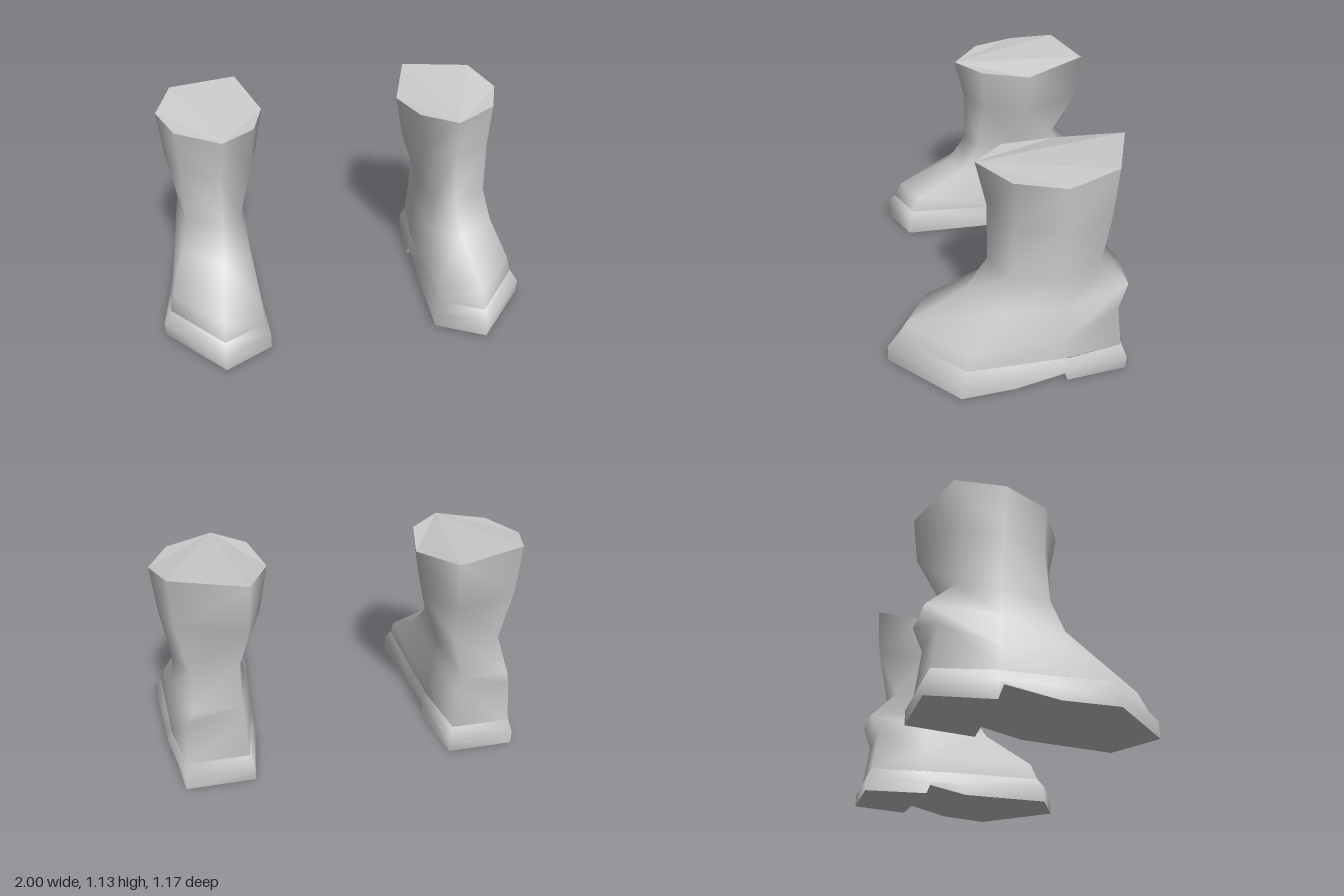
import * as THREE from 'three';

// Columns run around the boot: toe, outer front, outer side, outer back,
// inner back, inner side, inner front. Each point is [x, y, z] of the left boot.
const UPPER = [
  // welt
  [[.69, .15, .535], [.96, .14, .21], [.92, .14, -.265], [.85, .14, -.557], [.54, .14, -.557], [.495, .14, -.25], [.475, .15, .42]],
  // foot
  [[.69, .235, .487], [.94, .22, .19], [.92, .25, -.26], [.84, .36, -.53], [.55, .36, -.53], [.495, .25, -.26], [.48, .24, .38]],
  // instep and heel ledge
  [[.66, .40, .19], [.87, .40, .05], [.895, .42, -.25], [.80, .47, -.58], [.56, .47, -.58], [.51, .42, -.26], [.51, .40, .11]],
  // ankle
  [[.64, .56, .08], [.83, .57, 0], [.87, .58, -.25], [.79, .60, -.44], [.55, .62, -.44], [.525, .52, -.27], [.54, .55, 0]],
  // calf
  [[.63, .85, .08], [.83, .85, -.02], [.91, .85, -.24], [.84, .87, -.46], [.51, .87, -.565], [.42, .81, -.27], [.47, .85, -.02]],
  // rim
  [[.61, 1.07, .132], [.84, 1.08, -.01], [.93, 1.09, -.24], [.85, 1.13, -.475], [.49, 1.12, -.587], [.375, 1.053, -.27], [.44, 1.065, -.01]],
];

// The sole has extra columns for the arch and for the step of the heel.
const SOLE = [
  // ground edge
  [[.695, .012, .585], [1, .007, .24], [.97, .015, -.02], [.945, .065, -.265], [.925, .004, -.285], [.87, .004, -.588],
    [.52, .004, -.588], [.475, .004, -.25], [.48, .056, -.23], [.475, .015, -.02], [.45, .01, .45]],
  // top of the wall
  [[.695, .10, .583], [1, .08, .24], [.97, .08, -.02], [.945, .08, -.265], [.943, .08, -.285], [.87, .075, -.588],
    [.52, .075, -.588], [.48, .08, -.25], [.48, .08, -.23], [.475, .085, -.02], [.45, .10, .45]],
  // welt
  [[.69, .15, .535], [.96, .14, .21], [.94, .14, -.02], [.92, .14, -.265], [.918, .14, -.285], [.85, .14, -.557],
    [.54, .14, -.557], [.497, .14, -.25], [.495, .14, -.23], [.487, .145, -.02], [.475, .15, .42]],
];

// Builds a geometry from points and polygons, mirrored when side is -1.
function surface(points, polygons, side, flat) {
  const index = [];
  for (const p of polygons) {
    for (let i = 1; i < p.length - 1; i++) {
      index.push(p[0], ...(side > 0 ? [p[i], p[i + 1]] : [p[i + 1], p[i]]));
    }
  }
  let geometry = new THREE.BufferGeometry();
  const position = points.flatMap(([x, y, z]) => [x * side, y, z]);
  geometry.setAttribute('position', new THREE.Float32BufferAttribute(position, 3));
  geometry.setIndex(index);
  if (flat) geometry = geometry.toNonIndexed();
  geometry.computeVertexNormals();
  return geometry;
}

// Skins closed rings with smooth normals.
function loft(rings, side) {
  const n = rings[0].length;
  const quads = [];
  for (let r = 0; r < rings.length - 1; r++) {
    for (let i = 0; i < n; i++) {
      const j = (i + 1) % n;
      quads.push([r * n + i, r * n + j, (r + 1) * n + j, (r + 1) * n + i]);
    }
  }
  return surface(rings.flat(), quads, side, false);
}

function makeBoot(side, material) {
  const boot = new THREE.Group();
  boot.name = side > 0 ? 'leftBoot' : 'rightBoot';
  const add = (name, geometry) => {
    const mesh = new THREE.Mesh(geometry, material);
    mesh.name = name;
    boot.add(mesh);
  };
  add('upper', loft(UPPER, side));
  add('soleWall', loft(SOLE, side));
  // Closed top of the shaft
  add('shaftTop', surface(UPPER[UPPER.length - 1], [[0, 1, 2, 3, 4, 5, 6]], side, true));
  // Tread, arch, heel front and heel base
  add('soleBottom', surface(SOLE[0], [
    [0, 10, 9, 2, 1], [2, 9, 8, 3], [3, 8, 7, 4], [4, 7, 6, 5],
  ], side, true));
  return boot;
}

export function createModel() {
  const model = new THREE.Group();
  model.name = 'bootPair';
  const grey = new THREE.MeshStandardMaterial({ color: 0xcccccc });
  grey.name = 'lightGrey';
  for (const side of [1, -1]) model.add(makeBoot(side, grey));
  return model;
}
